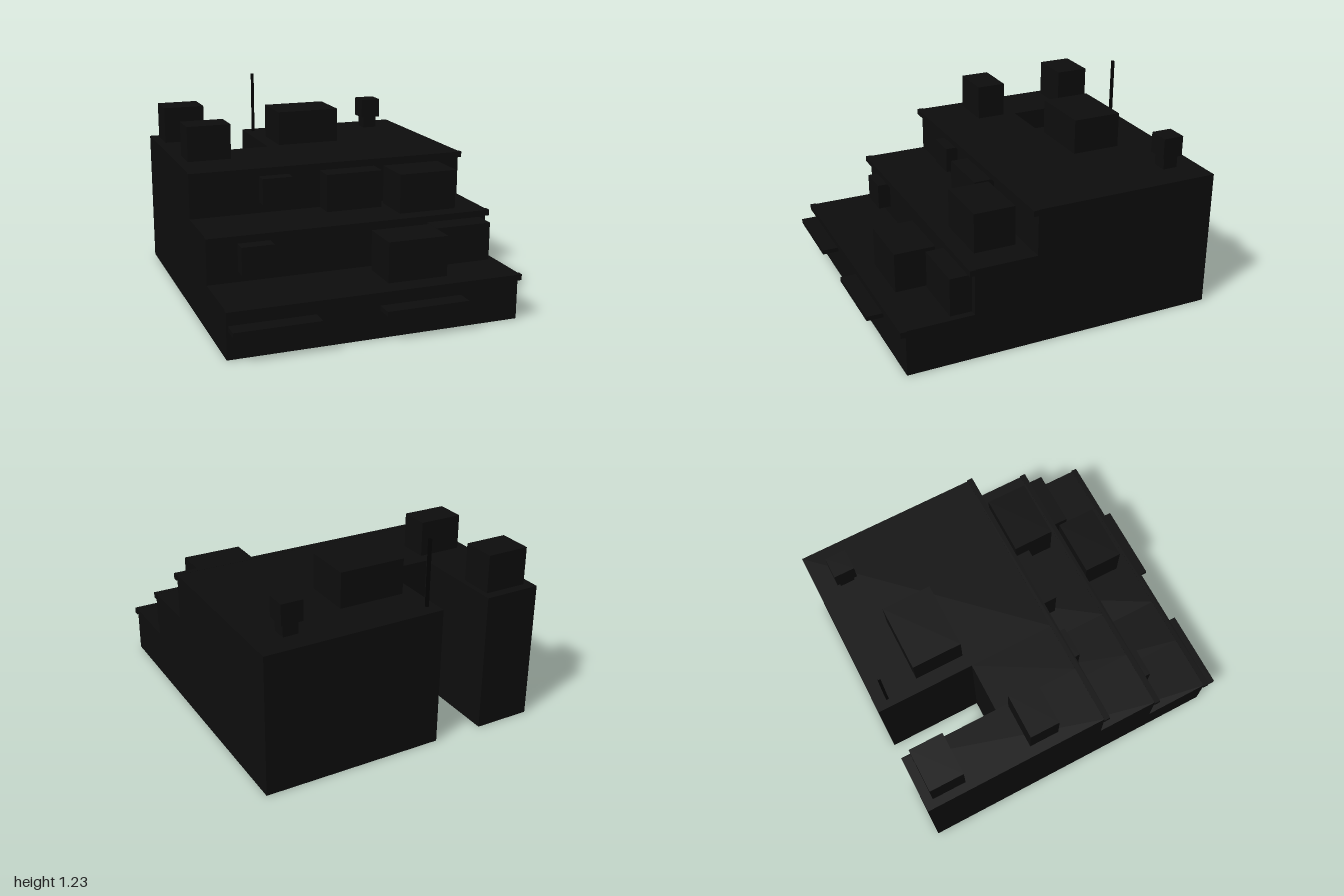
import * as THREE from 'three';

export function createModel() {
  const group = new THREE.Group();
  const wall = new THREE.MeshStandardMaterial({ color: 0x0d0d0d, side: THREE.DoubleSide });
  wall.name = 'charcoal black';
  const metal = new THREE.MeshStandardMaterial({ color: 0x030303 });
  metal.name = 'mast black';

  // Block given by its min and max along each axis; openBottom leaves out the underside
  function block(name, [x0, x1], [y0, y1], [z0, z1], { material = wall, openBottom = false } = {}) {
    const geometry = new THREE.BoxGeometry(x1 - x0, y1 - y0, z1 - z0);
    if (openBottom) {
      const index = Array.from(geometry.index.array);
      index.splice(18, 6);
      geometry.setIndex(index);
      geometry.clearGroups();
    }
    geometry.translate((x0 + x1) / 2, (y0 + y1) / 2, (z0 + z1) / 2);
    const mesh = new THREE.Mesh(geometry, material);
    mesh.name = name;
    group.add(mesh);
  }

  // Three stepped storeys, each of two wings and a shorter link between them
  const storeys = [
    [0, 0.277, 0.9],
    [0.277, 0.553, 0.5],
    [0.553, 0.83, 0.125],
  ];
  for (const [y0, y1, front] of storeys) {
    const open = { openBottom: true };
    block('wideWing', [-0.22, 0.86], [y0, y1], [-1, front], open);
    block('linkBlock', [-0.52, -0.22], [y0, y1], [-0.4, front], open);
    block('narrowWing', [-0.86, -0.52], [y0, y1], [-1, front], open);
    // Ledge along the front edge of each roof
    block('roofLedge', [-0.867, 0.867], [y1 - 0.034, y1 + 0.001], [front - 0.003, front + 0.032]);
  }

  // Ground floor canopies
  for (const x of [[-0.85, -0.36], [0.01, 0.5]]) block('canopy', x, [0.163, 0.19], [0.89, 1]);

  // Rooms on the first terrace
  block('terraceRoom', [0.095, 0.455], [0.277, 0.515], [0.565, 0.81]);
  block('terraceAnnex', [0.475, 0.82], [0.277, 0.505], [0.5, 0.63]);
  block('wallUnit', [-0.68, -0.49], [0.34, 0.5], [0.5, 0.58]);

  // Rooms on the second terrace
  block('terraceRoom', [0.33, 0.69], [0.553, 0.79], [0.18, 0.43]);
  block('terraceAnnex', [-0.06, 0.29], [0.553, 0.78], [0.125, 0.25]);
  block('wallUnit', [-0.44, -0.255], [0.62, 0.775], [0.125, 0.2]);

  // Roof huts
  block('roofHut', [-0.14, 0.258], [0.83, 1.043], [-0.72, -0.42]);
  block('roofHut', [-0.8, -0.533], [0.83, 1.043], [-0.325, -0.145]);
  block('stairHut', [-0.81, -0.553], [0.83, 1.057], [-0.945, -0.74]);

  // Water tank on its stand
  block('tankStand', [0.59, 0.682], [0.83, 0.905], [-0.865, -0.775]);
  block('waterTank', [0.57, 0.7], [0.905, 1.027], [-0.882, -0.757]);

  // Mast
  block('mast', [-0.174, -0.158], [0.83, 1.225], [-0.928, -0.912], { material: metal });

  return group;
}
